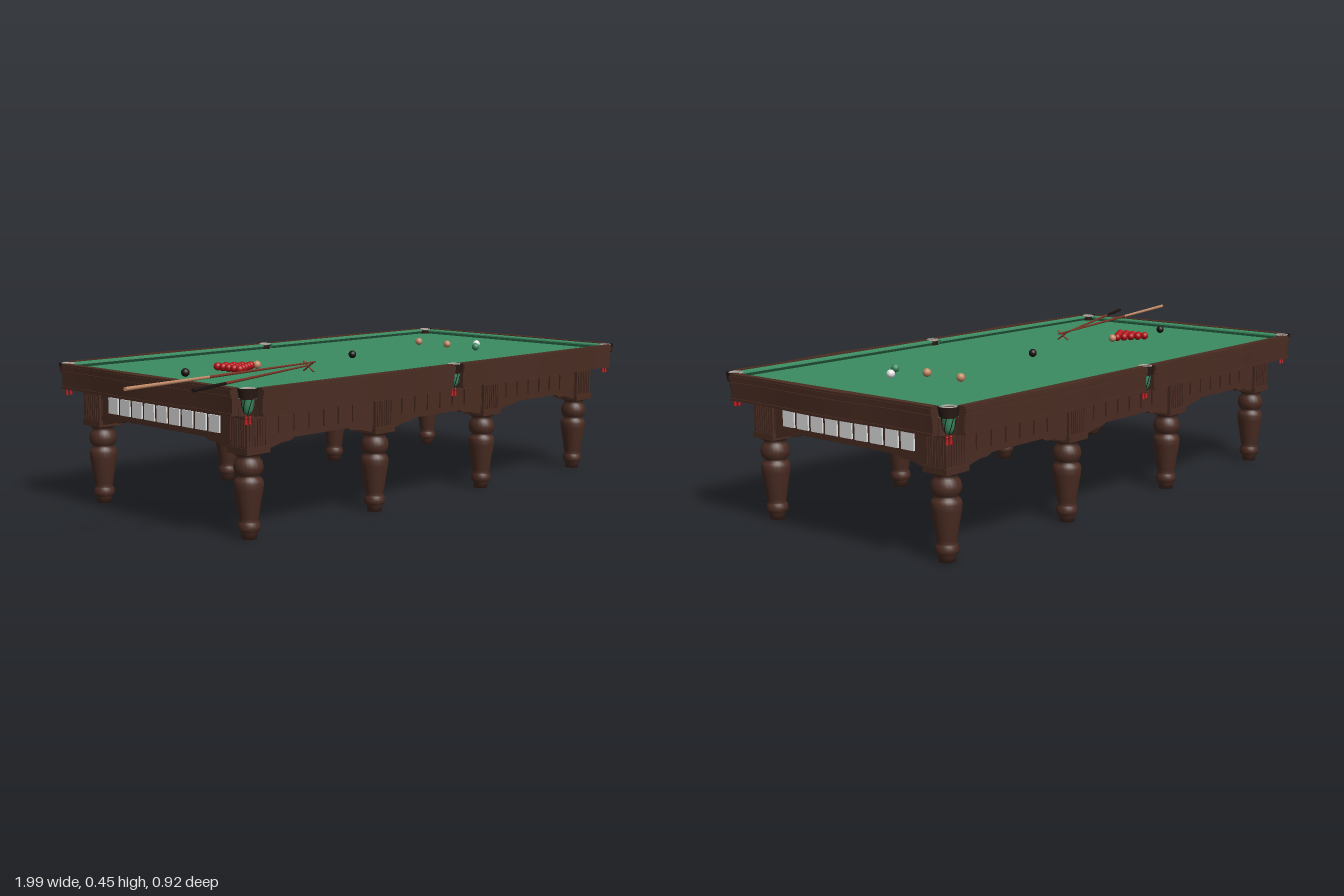
import * as THREE from 'three';

const mat = (name, color, side = THREE.FrontSide) => {
  const m = new THREE.MeshStandardMaterial({ color, side });
  m.name = name;
  return m;
};
const wood = mat('dark wood', 0x4a2c22);
const cloth = mat('green cloth', 0x3c8c62);
const white = mat('white', 0xe6e6e6);
const red = mat('red', 0xb01015);
const tan = mat('tan', 0xc08a68);
const black = mat('black', 0x1c1412);
const metal = mat('pocket metal', 0xa8a29c);
const shaft = mat('red brown shaft', 0x7a3626);

const CX = 0.1275;   // table centre in x

function add(parent, name, geo, material, x = 0, y = 0, z = 0) {
  const m = new THREE.Mesh(geo, material);
  m.name = name;
  m.position.set(x, y, z);
  parent.add(m);
  return m;
}
const box = (w, h, d) => new THREE.BoxGeometry(w, h, d);

// Extrude a plan outline upwards: shape (x, y) becomes (x, -z)
function slab(shape, y0, y1) {
  const g = new THREE.ExtrudeGeometry(shape, { depth: y1 - y0, bevelEnabled: false, curveSegments: 12 });
  return g.rotateX(-Math.PI / 2).translate(0, y0, 0);
}

// Turned leg with fluted block on top
function leg() {
  const g = new THREE.Group();
  g.name = 'leg';
  const profile = [[0, 0], [0.022, 0], [0.023, 0.018], [0.029, 0.022], [0.032, 0.033], [0.029, 0.046],
    [0.025, 0.05], [0.028, 0.06], [0.034, 0.1], [0.041, 0.14], [0.042, 0.157], [0.038, 0.167],
    [0.031, 0.172], [0.032, 0.179], [0.038, 0.184], [0.042, 0.2], [0.038, 0.217], [0.032, 0.223],
    [0.03, 0.232], [0.038, 0.236], [0.038, 0.242]];
  add(g, 'turnedLeg', new THREE.LatheGeometry(profile.map(p => new THREE.Vector2(...p)), 24), wood);
  add(g, 'legBlock', box(0.079, 0.115, 0.079), wood, 0, 0.2975);
  add(g, 'blockBase', box(0.085, 0.018, 0.085), wood, 0, 0.249);
  add(g, 'blockCap', box(0.085, 0.015, 0.085), wood, 0, 0.3475);
  for (let side = 0; side < 4; side++) {
    const face = new THREE.Group();
    face.name = 'fluting';
    face.rotation.y = side * Math.PI / 2;
    for (let i = -3; i <= 3; i++) add(face, 'flute', box(0.006, 0.075, 0.006), wood, i * 0.0095, 0.299, 0.0395);
    g.add(face);
  }
  return g;
}

// Apron board with an arched lower edge and a row of square panels
function apron(length, count, panelMat) {
  const g = new THREE.Group();
  g.name = 'apron';
  const h = length / 2;
  const s = new THREE.Shape();
  s.moveTo(-h, 0.356);
  s.lineTo(-h, 0.247);
  s.bezierCurveTo(-h + 0.03, 0.25, -h + 0.05, 0.262, -h + 0.08, 0.26);
  s.quadraticCurveTo(-h + 0.095, 0.262, -h + 0.105, 0.269);
  s.lineTo(h - 0.105, 0.269);
  s.quadraticCurveTo(h - 0.095, 0.262, h - 0.08, 0.26);
  s.bezierCurveTo(h - 0.05, 0.262, h - 0.03, 0.25, h, 0.247);
  s.lineTo(h, 0.356);
  add(g, 'apronBoard', new THREE.ExtrudeGeometry(s, { depth: 0.02, bevelEnabled: false, curveSegments: 8 }), wood, 0, 0, -0.02);
  for (let i = 0; i < count; i++) {
    add(g, 'apronPanel', box(0.046, 0.048, 0.006), panelMat, (i - (count - 1) / 2) * 0.058, 0.311, 0.002);
  }
  return g;
}

// Wavy rail on the -z side, built from stacked mouldings
function rail(x0, x1, inner, outer, amp) {
  const g = new THREE.Group();
  g.name = 'rail';
  const layers = [[0.355, 0.362, -0.002], [0.362, 0.402, -0.006], [0.402, 0.408, -0.002],
    [0.408, 0.411, -0.006], [0.411, 0.425, 0], [0.425, 0.43, -0.004]];
  for (const [y0, y1, inset] of layers) {
    const s = new THREE.Shape();
    s.moveTo(x0, inner);
    s.lineTo(x1, inner);
    for (let i = 0; i <= 32; i++) {
      const t = 1 - i / 16;
      s.lineTo((x0 + x1) / 2 + t * (x1 - x0) / 2, outer + amp * Math.cos(Math.PI * 1.4 * t) + inset);
    }
    add(g, 'railMoulding', slab(s, y0, y1), wood);
  }
  return g;
}

// Sloped cushion along x, its back at z = -back
function cushion(x0, x1, back) {
  const s = new THREE.Shape([[0, 0.411], [0.01, 0.411], [0.018, 0.421], [0.017, 0.425], [0, 0.4285]]
    .map(p => new THREE.Vector2(...p)));
  const geo = new THREE.ExtrudeGeometry(s, { depth: x1 - x0, bevelEnabled: false });
  geo.rotateY(-Math.PI / 2);   // profile x -> +z, depth -> -x
  return new THREE.Mesh(geo.translate(x1, 0, -back), cloth);
}

// Pocket ring, hanging pouch and tassels
function pocket(x, z) {
  const g = new THREE.Group();
  g.name = 'pocket';
  g.position.set(x, 0, z);
  add(g, 'pocketRing', new THREE.TorusGeometry(0.018, 0.003, 8, 24).rotateX(Math.PI / 2), metal, 0, 0.427);
  add(g, 'pocketCollar', new THREE.CylinderGeometry(0.0195, 0.0175, 0.026, 20, 1, true),
    black, 0, 0.413).material = collar;
  const pouch = [[0.001, 0.357], [0.008, 0.36], [0.014, 0.372], [0.016, 0.388], [0.0175, 0.402]];
  add(g, 'pouch', new THREE.LatheGeometry(pouch.map(p => new THREE.Vector2(...p)), 12), pouchCloth);
  for (let i = 0; i < 6; i++) {
    const a = i * Math.PI / 3;
    const path = new THREE.CatmullRomCurve3(pouch.map(([r, y], k) =>
      new THREE.Vector3(Math.sin(a + k * 0.25) * (r + 0.001), y, Math.cos(a + k * 0.25) * (r + 0.001))));
    add(g, 'pouchCord', new THREE.TubeGeometry(path, 8, 0.0011, 5), black);
  }
  for (const dx of [-0.007, 0.007]) {
    add(g, 'tasselCord', new THREE.CylinderGeometry(0.0015, 0.0015, 0.02, 6), red, dx, 0.358);
    add(g, 'tasselKnot', new THREE.SphereGeometry(0.004, 8, 6), red, dx, 0.35);
    add(g, 'tassel', new THREE.CylinderGeometry(0.003, 0.005, 0.016, 8), red, dx, 0.34);
  }
  return g;
}
const collar = mat('pocket leather', 0x2a1a15, THREE.DoubleSide);
const pouchCloth = mat('pouch cloth', 0x3c8c62, THREE.DoubleSide);

// Tapered stick between two points
function stick(parent, name, a, b, ra, rb, material) {
  const d = b.clone().sub(a);
  const m = add(parent, name, new THREE.CylinderGeometry(rb, ra, d.length(), 10), material);
  m.position.copy(a).addScaledVector(d, 0.5);
  m.quaternion.setFromUnitVectors(new THREE.Vector3(0, 1, 0), d.normalize());
}
function cue(name, a, b, buttMat, split, shaftMat) {
  const g = new THREE.Group();
  g.name = name;
  const p = a.clone().lerp(b, split);
  stick(g, 'cueButt', a, p, 0.0055, 0.0042, buttMat);
  stick(g, 'cueShaft', p, b, 0.0042, 0.0025, shaftMat);
  return g;
}

export function createModel() {
  const root = new THREE.Group();
  root.name = 'billiardTable';
  const table = new THREE.Group();
  table.name = 'table';
  table.position.x = CX;
  root.add(table);

  // Legs
  for (const x of [-0.75, -0.25, 0.25, 0.75]) for (const z of [-0.335, 0.335]) {
    const l = leg();
    l.position.set(x, 0, z);
    table.add(l);
  }

  // Aprons, rails and cushions, mirrored front to back and end to end
  for (const s of [-1, 1]) {
    for (const x of [-0.5, 0, 0.5]) {
      const a = apron(0.42, 6, wood);
      a.position.set(x, 0, s * 0.365);
      a.rotation.y = s > 0 ? 0 : Math.PI;
      table.add(a);
    }
    const end = apron(0.59, 9, white);
    end.position.x = s * 0.78;
    end.rotation.y = s * Math.PI / 2;
    table.add(end);

    const long = new THREE.Group();
    long.name = 'longSide';
    long.rotation.y = s > 0 ? Math.PI : 0;
    for (const h of [-1, 1]) {
      const [x0, x1] = h < 0 ? [-0.797, -0.02] : [0.02, 0.797];
      long.add(rail(x0, x1, 0.424, 0.454, 0.008));
      const c = cushion(x0, x1, 0.425);
      c.name = 'cushion';
      long.add(c);
    }
    table.add(long);

    const short = new THREE.Group();
    short.name = 'shortSide';
    short.rotation.y = s * Math.PI / 2;
    short.add(rail(-0.39, 0.39, 0.831, 0.862, 0.005));
    const c = cushion(-0.39, 0.39, 0.832);
    c.name = 'cushion';
    short.add(c);
    table.add(short);
  }

  // Cloth bed with concave pocket cut-outs
  const bed = new THREE.Shape();
  const W = 0.832, D = 0.425, R = 0.034, P = Math.PI;
  bed.moveTo(-W + R, -D);
  bed.absarc(0, -D, 0.02, P, 0, true);
  bed.absarc(W, -D, R, P, P / 2, true);
  bed.absarc(W, D, R, -P / 2, -P, true);
  bed.absarc(0, D, 0.02, 0, -P, true);
  bed.absarc(-W, D, R, 0, -P / 2, true);
  bed.absarc(-W, -D, R, P / 2, 0, true);
  add(table, 'clothBed', slab(bed, 0.4, 0.412), cloth);
  add(table, 'bedFrame', slab(bed, 0.352, 0.4), wood);

  // Pockets and the wooden corner brackets around them
  for (const z of [-1, 1]) {
    for (const x of [-1, 0, 1]) {
      table.add(pocket(x * 0.8175, z * (x ? 0.411 : 0.427)));
      const a = Math.atan2(x, z);
      const bracket = new THREE.CylinderGeometry(0.028, 0.024, 0.026, 16, 1, true, a - 1.6, 3.2);
      add(table, 'pocketBracket', bracket, collar, x * 0.8175, 0.417, z * (x ? 0.411 : 0.427));
    }
  }

  // Balls
  const r = 0.0125, ballGeo = new THREE.SphereGeometry(r, 18, 12);
  const ball = (name, m, x, z) => add(root, name, ballGeo, m, x, 0.412 + r, z);
  for (let row = 0; row < 5; row++) for (let i = 0; i <= row; i++) {
    ball('redBall', red, -0.315 - row * r * 1.74, (i - row / 2) * 2 * r);
  }
  ball('blackBall', black, -0.567, 0);
  ball('pinkBall', tan, -0.289, 0);
  ball('centreBall', black, 0.125, 0);
  ball('tanBall', tan, 0.595, -0.13);
  ball('tanBall', tan, 0.595, 0);
  ball('greenBall', cloth, 0.595, 0.127);
  ball('cueBall', white, 0.675, 0.065);

  // Cue and rest lying over the end rail
  const v = (x, y, z) => new THREE.Vector3(x, y, z);
  root.add(cue('cue', v(-0.998, 0.444, 0.29), v(-0.185, 0.437, 0.147), tan, 0.4, shaft));
  root.add(cue('restStick', v(-0.853, 0.436, 0.385), v(-0.225, 0.431, 0.16), black, 0.25, shaft));
  stick(root, 'restHead', v(-0.226, 0.413, 0.138), v(-0.222, 0.442, 0.178), 0.0025, 0.0025, shaft);
  stick(root, 'restHead', v(-0.222, 0.413, 0.178), v(-0.226, 0.442, 0.138), 0.0025, 0.0025, shaft);
  return root;
}
